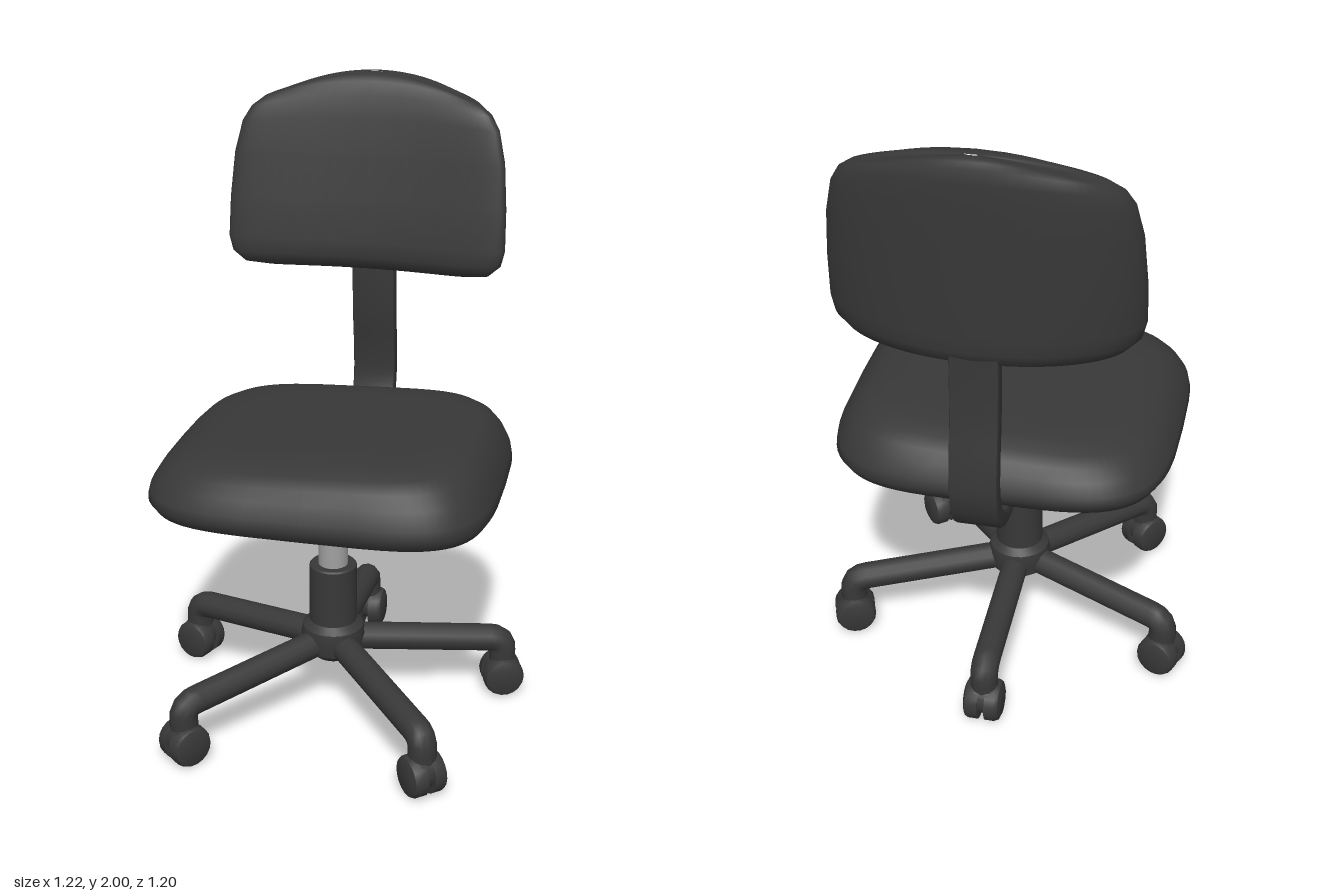
import * as THREE from 'three';
import { toCreasedNormals } from 'three/addons/utils/BufferGeometryUtils.js';
import { RoundedBoxGeometry } from 'three/addons/geometries/RoundedBoxGeometry.js';

const V = (x, y, z) => new THREE.Vector3(x, y, z);
const spow = (v, e) => Math.sign(v) * Math.abs(v) ** e;
const CX = -0.008, CZ = 0.065; // swivel axis

// Closed skin through rings from bottom to top; point(ring, cos, sin) gives [x, y, z]
function loft(rings, n, point) {
  const pos = [], index = [];
  rings.forEach((r, k) => {
    for (let i = 0; i < n; i++) {
      const t = (i / n) * Math.PI * 2;
      pos.push(...point(r, Math.cos(t), Math.sin(t)));
      if (k === rings.length - 1) continue;
      const a = k * n + i, b = k * n + (i + 1) % n;
      index.push(a, a + n, b, b, a + n, b + n);
    }
  });
  const g = new THREE.BufferGeometry();
  g.setAttribute('position', new THREE.Float32BufferAttribute(pos, 3));
  g.setIndex(index);
  g.computeVertexNormals();
  return g;
}

const lathe = (pts, n = 24) =>
  toCreasedNormals(new THREE.LatheGeometry(pts.map(p => new THREE.Vector2(...p)), n), 0.6);

export function createModel() {
  const dark = new THREE.MeshStandardMaterial({ color: 0x383838 });
  dark.name = 'charcoal';
  const steel = new THREE.MeshStandardMaterial({ color: 0xa0a0a0 });
  steel.name = 'steel grey';
  const model = new THREE.Group();
  model.name = 'officeChair';
  const add = (name, geo, mat = dark, parent = model) => {
    const m = new THREE.Mesh(geo, mat);
    m.name = name;
    parent.add(m);
    return m;
  };

  // Seat cushion: [height, inset], slightly higher on its left and front
  const seatRings = [[0.807, 0.54], [0.805, 0.06], [0.812, 0.02], [0.845, 0], [0.875, 0.006], [0.92, 0.03],
    [0.955, 0.06], [0.98, 0.1], [0.995, 0.16], [1.0, 0.23], [1.002, 0.36], [1.003, 0.54]];
  add('seat', loft(seatRings, 64, ([y, inset], c, s) => {
    const f = 1 - inset / 0.54;
    const x = 0.542 * f * spow(c, 0.47), z = 0.495 * f * spow(s, 0.47);
    const taper = z < 0 ? 1 - 0.22 * z * z : 1;
    const lift = THREE.MathUtils.clamp((y - 0.85) / 0.13, 0, 1);
    return [x * taper - 0.002, y + lift * (0.04 * x + 0.018 * z), z + 0.04];
  }));

  // Backrest: [height, half width, front z, back z, drop of the corners]
  const backRings = [[1.375, 0.02, -0.47, -0.5, 0], [1.37, 0.34, -0.42, -0.545, 0], [1.385, 0.41, -0.385, -0.57, 0],
    [1.42, 0.448, -0.372, -0.58, 0], [1.47, 0.46, -0.37, -0.584, 0], [1.6, 0.457, -0.39, -0.588, 0],
    [1.75, 0.445, -0.415, -0.594, 0.005], [1.87, 0.422, -0.437, -0.597, 0.025], [1.94, 0.395, -0.455, -0.597, 0.05],
    [1.98, 0.355, -0.473, -0.593, 0.06], [1.997, 0.3, -0.495, -0.582, 0.06], [2.0, 0.2, -0.52, -0.565, 0.035],
    [2.0, 0.02, -0.54, -0.545, 0]];
  add('backrest', loft(backRings, 56, ([y, w, zf, zb, drop], c, s) => {
    const u = spow(c, s > 0 ? 0.6 : 0.9);
    const mid = zf - 0.25 * (zf - zb);
    const z = s > 0 ? mid + (zf - mid) * s ** 0.6 : mid + (zb - mid) * (-s) ** 0.95;
    const wing = 0.045 * u * u * Math.min(1, w / 0.4);
    return [w * u - 0.005, y - drop * u * u, z + wing];
  }));

  // Flat bent strip joining the mechanism to the backrest
  const path = new THREE.CatmullRomCurve3([[-0.1, 0.783], [-0.3, 0.783], [-0.44, 0.787], [-0.53, 0.835],
    [-0.572, 0.93], [-0.573, 1.03], [-0.553, 1.18], [-0.546, 1.32], [-0.546, 1.45]].map(([z, y]) => V(z, y, 0)));
  const outer = [], inner = [];
  for (let i = 0; i <= 32; i++) {
    const p = path.getPoint(i / 32), t = path.getTangent(i / 32);
    outer.push(new THREE.Vector2(p.x + t.y * 0.02, p.y - t.x * 0.02));
    inner.unshift(new THREE.Vector2(p.x - t.y * 0.02, p.y + t.x * 0.02));
  }
  const strip = new THREE.ExtrudeGeometry(new THREE.Shape([...outer, ...inner]),
    { depth: 0.13, bevelSize: 0.007, bevelThickness: 0.007, bevelSegments: 2 });
  strip.rotateY(-Math.PI / 2).translate(0.057, 0, 0);
  add('backSupport', toCreasedNormals(strip, 0.7));

  // Mechanism under the seat
  add('seatMechanism', new RoundedBoxGeometry(0.155, 0.06, 0.36, 2, 0.012)).position.set(CX, 0.785, 0.01);

  // Height lever with a flat paddle on the right
  add('leverRod', new THREE.TubeGeometry(new THREE.LineCurve3(V(-0.04, 0.772, 0.06), V(-0.25, 0.745, 0.06)), 1, 0.012, 8));
  const paddle = add('leverPaddle', new RoundedBoxGeometry(0.2, 0.022, 0.1, 2, 0.01));
  paddle.position.set(-0.31, 0.736, 0.06);
  paddle.rotation.z = 0.1;

  // Gas lift
  const lift = add('gasLift', lathe([[0.048, 0.5], [0.048, 0.607], [0.032, 0.61], [0.032, 0.765]]), steel);
  lift.position.set(CX, 0, CZ);

  // Hub and column sleeve
  add('hubColumn', lathe([[0, 0.185], [0.06, 0.185], [0.095, 0.215], [0.105, 0.27], [0.1, 0.3], [0.078, 0.32],
    [0.077, 0.515], [0.072, 0.52], [0, 0.52]])).position.set(CX, 0, CZ);

  // Five legs, each with a twin-wheel caster
  const wheelGeo = lathe([[0, -0.025], [0.045, -0.025], [0.062, -0.018], [0.068, -0.006], [0.068, 0.025], [0, 0.025]], 18);
  wheelGeo.rotateZ(-Math.PI / 2);
  const feet = [[CX, -0.485], [0.53, -0.135], [-0.535, -0.135], [0.377, 0.515], [-0.383, 0.515]];
  for (const [x, z] of feet) {
    const leg = new THREE.Group();
    leg.name = 'leg';
    leg.position.set(CX, 0, CZ);
    leg.rotation.y = Math.atan2(x - CX, z - CZ);
    model.add(leg);
    const R = Math.hypot(x - CX, z - CZ);

    const curve = new THREE.CurvePath();
    curve.add(new THREE.LineCurve3(V(0, 0.25, 0.02), V(0, 0.205, R - 0.05)));
    curve.add(new THREE.QuadraticBezierCurve3(V(0, 0.205, R - 0.05), V(0, 0.203, R), V(0, 0.16, R)));
    curve.add(new THREE.LineCurve3(V(0, 0.16, R), V(0, 0.09, R)));
    add('legArm', new THREE.TubeGeometry(curve, 32, 0.045, 12), dark, leg);

    const hood = add('casterHood', new THREE.CylinderGeometry(0.058, 0.058, 0.05, 16), dark, leg);
    hood.rotation.z = Math.PI / 2;
    hood.position.set(0, 0.085, R);
    for (const side of [-1, 1]) {
      const wheel = add('casterWheel', wheelGeo, dark, leg);
      wheel.position.set(side * 0.036, 0.07, R);
      if (side > 0) wheel.rotation.y = Math.PI;
    }
  }
  return model;
}
